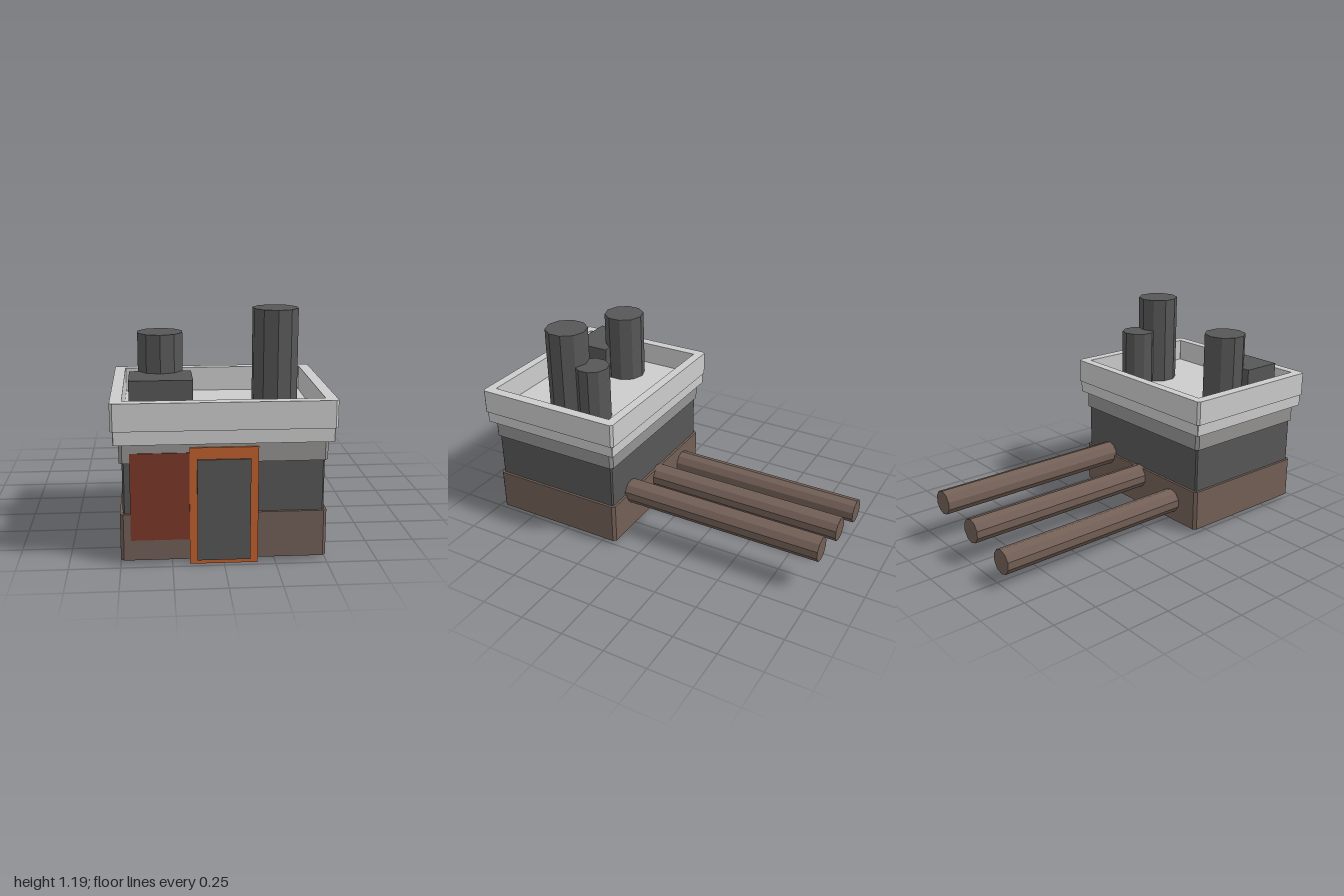
import * as THREE from 'three';

const CENTER_Z = 0.561; // middle of the building, front to back

const mat = (color) => new THREE.MeshStandardMaterial({ color, flatShading: true });
const lightGrey = mat(0xcccccc);
const trimGrey = mat(0x949392);
const darkGrey = mat(0x585757);
const brown = mat(0x725f56);
const orange = mat(0xc0602c);
const red = mat(0x7c382a);

// Outline of a rectangle with cut corners
function cutRect(w, d, c, Type = THREE.Shape) {
  const x = w / 2, y = d / 2;
  const pts = [[x, -y + c], [x, y - c], [x - c, y], [-x + c, y],
    [-x, y - c], [-x, -y + c], [-x + c, -y], [x - c, -y]];
  return new Type(pts.map(([a, b]) => new THREE.Vector2(a, b)));
}

export function createModel() {
  const model = new THREE.Group();
  model.name = 'building';

  function add(name, geometry, material, x, y, z) {
    const mesh = new THREE.Mesh(geometry, material);
    mesh.name = name;
    mesh.position.set(x, y, z);
    model.add(mesh);
    return mesh;
  }

  // Horizontal slab with cut corners, optionally hollow
  function slab(name, material, w, d, y0, y1, cut, hole) {
    const shape = cutRect(w, d, cut);
    if (hole) shape.holes.push(cutRect(hole[0], hole[1], 0.001, THREE.Path));
    const g = new THREE.ExtrudeGeometry(shape, { depth: y1 - y0, bevelEnabled: false });
    g.rotateX(-Math.PI / 2);
    add(name, g, material, 0, y0, CENTER_Z);
  }

  // Box given by its limits
  function box(name, material, x0, x1, y0, y1, z0, z1) {
    add(name, new THREE.BoxGeometry(x1 - x0, y1 - y0, z1 - z0), material,
      (x0 + x1) / 2, (y0 + y1) / 2, (z0 + z1) / 2);
  }

  // Walls in stacked bands
  slab('wallCore', darkGrey, 0.972, 0.776, 0.018, 0.62, 0.008);
  slab('lowerWall', brown, 1.0, 0.804, 0.022, 0.255, 0.016);
  slab('upperTrim', trimGrey, 1.0, 0.804, 0.51, 0.612, 0.016);

  // Roof slab and parapet
  slab('roofSlab', lightGrey, 1.05, 0.852, 0.607, 0.68, 0.003);
  slab('parapet', lightGrey, 1.074, 0.872, 0.675, 0.81, 0.013, [0.96, 0.766]);

  // Door, its frame and the side panel
  box('doorFrame', orange, -0.166, 0.164, 0, 0.586, 0.945, 0.973);
  box('door', darkGrey, -0.13, 0.127, 0.02, 0.528, 0.945, 0.981);
  box('sidePanel', red, -0.45, -0.16, 0.125, 0.56, 0.94, 0.968);

  // Roof stacks and the vent box
  const stacks = [
    ['tallStack', 0.29, 0.561, 0.118, 1.19],
    ['shortStack', 0.29, 0.403, 0.097, 1.0],
    ['ventStack', -0.294, 0.559, 0.118, 1.073],
  ];
  for (const [name, x, z, r, top] of stacks) {
    const h = top - 0.67;
    add(name, new THREE.CylinderGeometry(r, r, h, 10), darkGrey, x, top - h / 2, z);
  }
  box('ventBox', darkGrey, -0.45, -0.14, 0.67, 0.88, 0.6, 0.83);

  // Long pipes leaving the back wall, stepping up towards the left
  for (let i = -1; i <= 1; i++) {
    const length = 1.22;
    const g = new THREE.CylinderGeometry(0.069, 0.069, length, 10);
    g.rotateX(-Math.PI / 2);
    add('backPipe', g, brown, i * 0.293 - 0.003, 0.197 + i * 0.057, -1 + length / 2);
  }

  return model;
}
